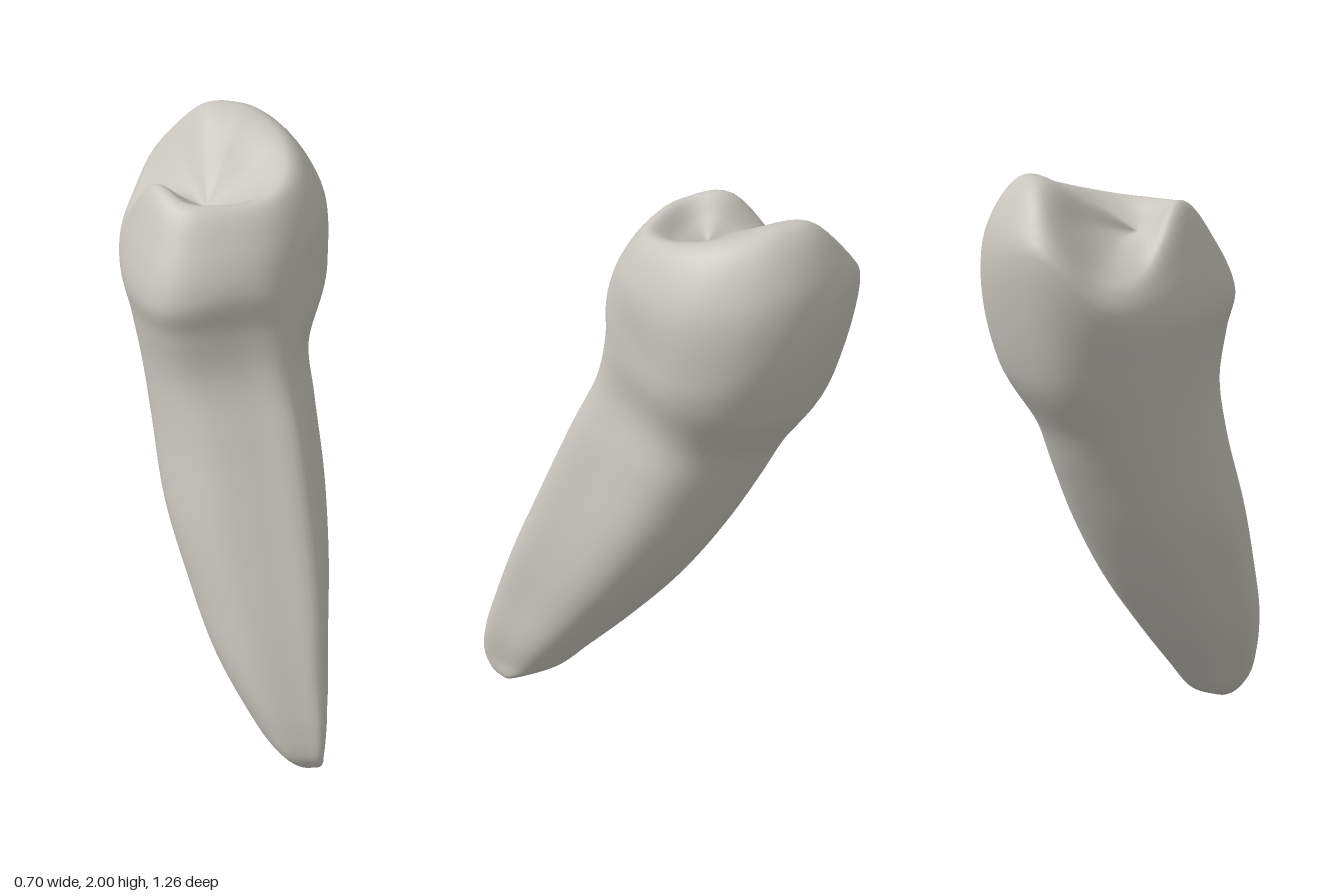
import * as THREE from 'three';
import { mergeVertices } from 'three/addons/utils/BufferGeometryUtils.js';

const v = (x, y, z) => new THREE.Vector3(x, y, z);

// Every section has 12 points, starting at the front and turning towards +x.
// Root section inside a -1..1 square: [x, z]
const rootShape = [
  [0, 0.94], [0.48, 0.98], [0.78, 0.47], [1, -0.05], [0.94, -0.42], [0.62, -0.78],
  [0.22, -0.99], [-0.27, -0.97], [-0.72, -0.76], [-0.95, -0.3], [-0.98, 0.18], [-0.65, 0.72],
];

// Widest line of the crown
const equator = [
  [-0.06, 1.66, 0.148], [0.1, 1.62, 0.125], [0.24, 1.58, -0.02], [0.335, 1.55, -0.18],
  [0.335, 1.58, -0.35], [0.25, 1.68, -0.5], [0.1, 1.76, -0.595], [-0.1, 1.78, -0.622],
  [-0.235, 1.64, -0.53], [-0.315, 1.58, -0.36], [-0.35, 1.6, -0.1], [-0.28, 1.62, 0.105],
].map((p) => v(...p));

// Ridge joining the cusps round the chewing surface
const ridge = [
  [-0.05, 1.888, 0.01], [0.08, 1.89, 0], [0.175, 1.915, -0.1], [0.205, 1.95, -0.24],
  [0.175, 1.98, -0.36], [0.11, 1.995, -0.44], [0.005, 1.975, -0.5], [-0.1, 1.85, -0.545],
  [-0.2, 1.72, -0.465], [-0.265, 1.73, -0.335], [-0.245, 1.902, -0.165], [-0.18, 1.892, -0.03],
].map((p) => v(...p));

// Outward bulge of the shoulder and height of the hollow, per point
const bulge = [0.026, 0.03, 0.05, 0.062, 0.064, 0.052, 0.034, 0.02, 0.016, 0.014, 0.022, 0.026];
const hollowY = [1.838, 1.845, 1.86, 1.885, 1.91, 1.92, 1.9, 1.84, 1.8, 1.81, 1.855, 1.845];

// Root and neck: y, left x, right x, back z, front z, tilt, share of crown shape
const sections = [
  [0.03, 0.01, 0.115, 0.48, 0.59, 0, 0],
  [0.1, -0.06, 0.132, 0.345, 0.628, 0, 0],
  [0.22, -0.125, 0.165, 0.23, 0.615, 0, 0],
  [0.4, -0.2, 0.2, 0.065, 0.56, 0, 0],
  [0.62, -0.25, 0.24, -0.11, 0.48, 0, 0],
  [0.85, -0.288, 0.261, -0.255, 0.385, 0, 0],
  [1.1, -0.294, 0.258, -0.36, 0.26, 0.05, 0.05],
  [1.27, -0.302, 0.258, -0.43, 0.175, 0.08, 0.35],
  [1.45, -0.324, 0.328, -0.55, 0.147, 0.06, 0.85],
];

function sectionRing([y, x0, x1, z0, z1, tilt, crown]) {
  return rootShape.map(([rx, rz], k) => {
    const e = equator[k];
    const nx = THREE.MathUtils.lerp(rx, e.x / 0.345, crown);
    const nz = THREE.MathUtils.lerp(rz, (e.z + 0.237) / 0.385, crown);
    return v((x0 + x1) / 2 + nx * (x1 - x0) / 2, y + tilt * nz, (z0 + z1) / 2 + nz * (z1 - z0) / 2);
  });
}

// Smooth skin through closed rings, ordered from root tip to central pit
function loft(rings, around, along) {
  const loops = rings.map((r) => {
    const curve = new THREE.CatmullRomCurve3(r, true, 'catmullrom', 0.5);
    return Array.from({ length: around }, (_, j) => curve.getPoint(j / around));
  });
  const columns = Array.from({ length: around }, (_, j) =>
    new THREE.CatmullRomCurve3(loops.map((l) => l[j])).getPoints(along));
  const pos = [], index = [];
  for (let i = 0; i <= along; i++) {
    for (let j = 0; j < around; j++) {
      pos.push(...columns[j][i].toArray());
      if (i === along) continue;
      const a = i * around + j, b = i * around + (j + 1) % around;
      if (i > 0) index.push(a, b, b + around);
      if (i < along - 1) index.push(a, b + around, a + around);
    }
  }
  let geo = new THREE.BufferGeometry();
  geo.setAttribute('position', new THREE.Float32BufferAttribute(pos, 3));
  geo.setIndex(index);
  geo = mergeVertices(geo, 1e-5);
  geo.computeVertexNormals();
  return geo;
}

export function createModel() {
  const enamel = new THREE.MeshStandardMaterial({ color: 0xc8c5bd });
  enamel.name = 'warm grey';

  const tip = v(0.07, 0, 0.55);
  const pit = v(-0.08, 1.805, -0.14);
  const centre = v(0, 0, -0.24);

  // Rounded shoulder between equator and ridge
  const shoulder = equator.map((e, k) => {
    const p = e.clone().lerp(ridge[k], 0.58);
    const out = p.clone().sub(centre).setY(0).normalize();
    return p.addScaledVector(out, bulge[k]);
  });

  // Hollow of the chewing surface
  const hollow = ridge.map((r, k) => r.clone().lerp(pit, 0.5).setY(hollowY[k]));

  const rings = [
    Array(12).fill(tip),
    ...sections.map(sectionRing),
    equator, shoulder, ridge, hollow,
    Array(12).fill(pit),
  ];

  const tooth = new THREE.Mesh(loft(rings, 72, 112), enamel);
  tooth.name = 'tooth';
  const group = new THREE.Group();
  group.name = 'singleRootTooth';
  group.add(tooth);
  return group;
}
